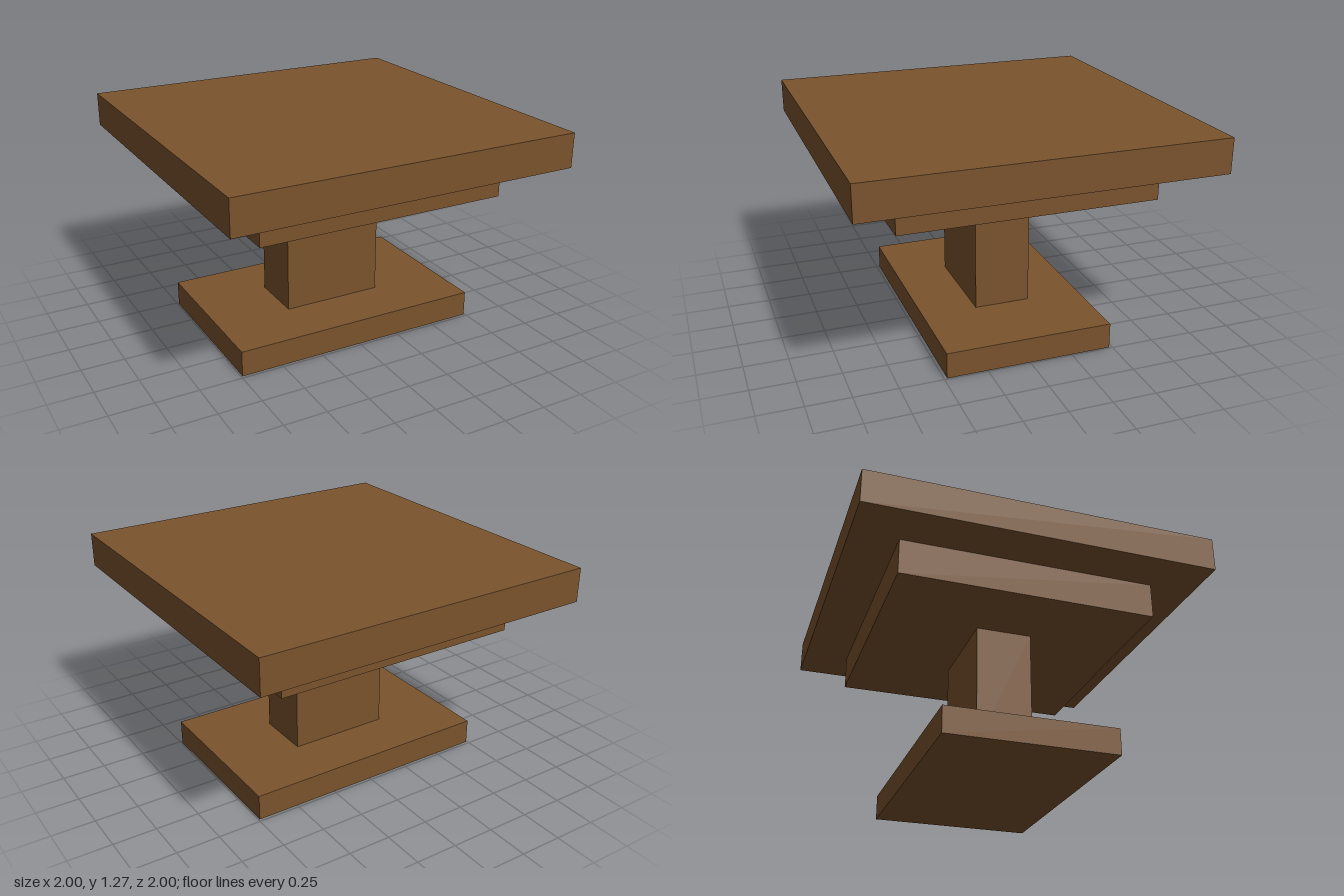
import * as THREE from 'three';

export function createModel() {
  const model = new THREE.Group();
  model.name = 'pedestalTable';
  const wood = new THREE.MeshStandardMaterial({ color: 0x7a532d });
  wood.name = 'brown wood';

  // A centred slab from height y0 to y1
  function slab(name, width, depth, y0, y1) {
    const mesh = new THREE.Mesh(new THREE.BoxGeometry(width, y1 - y0, depth), wood);
    mesh.name = name;
    mesh.position.y = (y0 + y1) / 2;
    model.add(mesh);
  }

  slab('base', 1.484, 0.966, 0, 0.15);
  slab('pedestal', 0.594, 0.326, 0.15, 0.865);
  slab('apron', 1.47, 1.47, 0.865, 1.07);
  slab('tableTop', 2, 2, 1.07, 1.268);

  return model;
}
